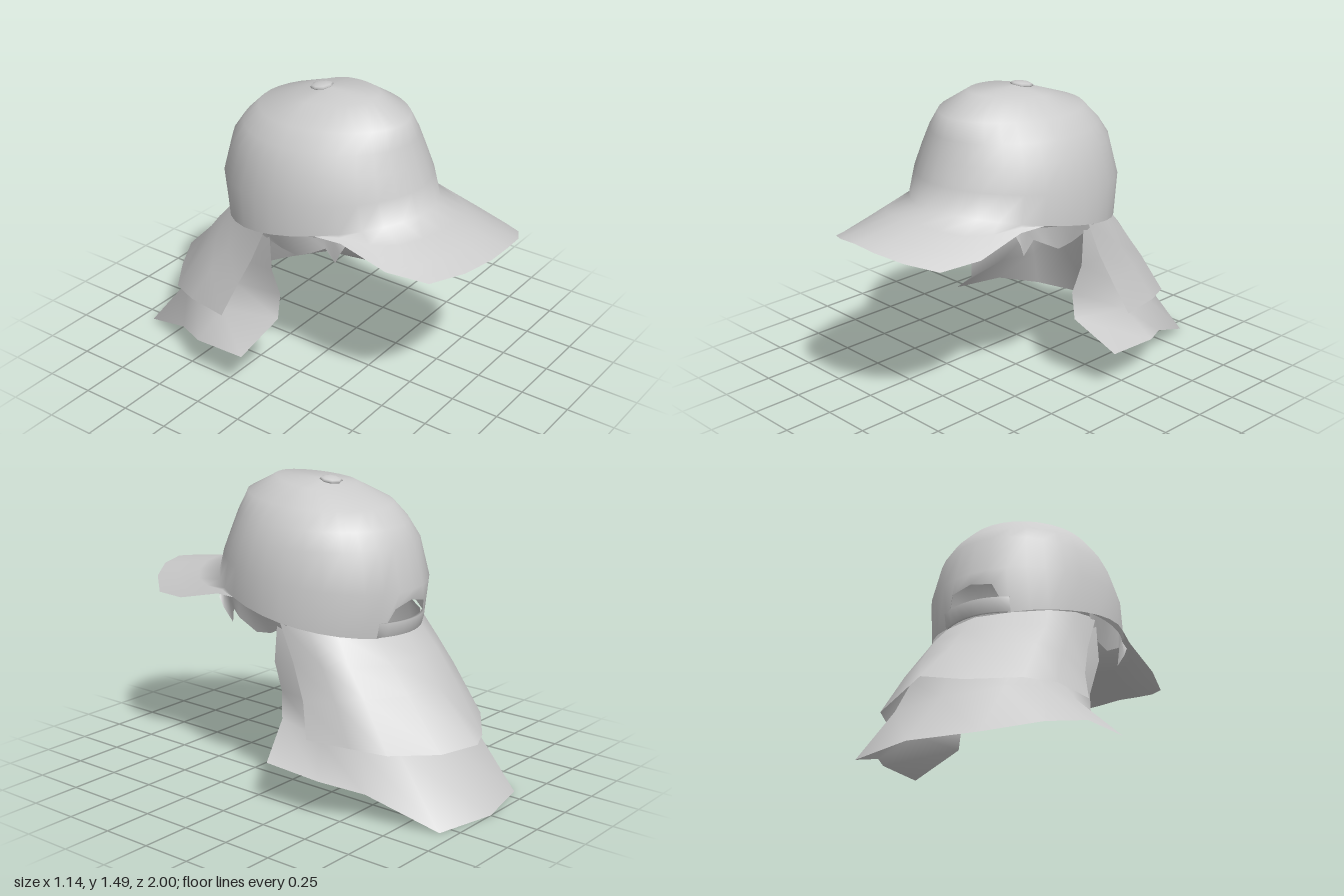
import * as THREE from 'three';

const mat = new THREE.MeshStandardMaterial({ color: 0xcccccc, side: THREE.DoubleSide });
const COLS = 32;

// Smooth sheet through rows of [x, y, z] points; closed joins the row ends
function sheet(name, rows, closed = false) {
  const n = rows[0].length, index = [];
  const cols = closed ? n : n - 1;
  for (let r = 0; r < rows.length - 1; r++) {
    for (let c = 0; c < cols; c++) {
      const a = r * n + c, b = r * n + (c + 1) % n;
      index.push(a, b, b + n, a, b + n, a + n);
    }
  }
  const geo = new THREE.BufferGeometry();
  geo.setAttribute('position', new THREE.Float32BufferAttribute(rows.flat(2), 3));
  geo.setIndex(index);
  geo.computeVertexNormals();
  const mesh = new THREE.Mesh(geo, mat);
  mesh.name = name;
  return mesh;
}

// Half a row, ordered from the left side to the middle, completed by mirroring
const mirrorRow = (half) => [
  ...half,
  ...half.slice(0, -1).reverse().map(([x, y, z]) => [-x, y, z]),
];

// Crown rings, tilted ovals: front z, front y, back z, back y, half width
const rings = [
  [0.58, 1.0, -0.50, 0.79, 0.46],
  [0.54, 1.11, -0.535, 1.01, 0.457],
  [0.50, 1.21, -0.485, 1.21, 0.415],
  [0.465, 1.31, -0.43, 1.29, 0.37],
  [0.43, 1.40, -0.35, 1.37, 0.305],
  [0.27, 1.483, -0.14, 1.443, 0.185],
  [0, 1.477, 0, 1.477, 0],
];
function ringPoints([zf, yf, zb, yb, w]) {
  return Array.from({ length: COLS }, (_, i) => {
    const a = (i / COLS) * Math.PI * 2, c = Math.cos(a);
    const z = c > 0 ? zf * c : -zb * c;
    const t = zf === zb ? 0 : (z - zb) / (zf - zb);
    // The front is slightly narrowed
    const x = w * Math.sin(a) * (1 - 0.1 * Math.max(c, 0) ** 2);
    return [x, yb + (yf - yb) * t, z];
  });
}

// Crown and brim as one smooth surface, the brim growing from the front of the rim
function crownAndBrim() {
  const rows = rings.map(ringPoints);

  // Arched opening above the strap
  const archX = [0, 0.11, 0.17], archY = [0.96, 0.935, 0.795];
  for (let k = -2; k <= 2; k++) {
    const p = rows[0][COLS / 2 + k], m = Math.abs(k);
    p[0] = -Math.sign(k) * archX[m];
    p[1] = archY[m];
    if (m < 2) p[2] -= 0.025;
  }

  // Outer edge of the brim from the middle to the side
  const edge = [[0, 0.94, 1], [0.12, 0.925, 0.985], [0.24, 0.89, 0.92],
    [0.345, 0.845, 0.8], [0.395, 0.86, 0.6], [0.392, 0.922, 0.35]];
  const brimRow = (t) => rows[0].map((p, i) => {
    const k = Math.min(i, COLS - i);
    if (k >= edge.length) return p;
    const [x, y, z] = edge[k];
    const end = [i > COLS / 2 ? -x : x, y, z];
    return p.map((v, j) => v + (end[j] - v) * t);
  });
  return sheet('crownAndBrim', [...[1, 0.67, 0.33].map(brimRow), ...rows], true);
}

// Strap closing the opening at the back
function strap() {
  const row = (y, out) => Array.from({ length: 9 }, (_, i) => {
    const x = -0.18 + i * 0.045;
    return [x, y, -0.5 - out + 0.055 * (x / 0.18) ** 2];
  });
  return sheet('backStrap', [row(0.8, 0), row(0.8, 0.015), row(0.87, 0.03), row(0.87, 0.015), row(0.8, 0)]);
}

// Short outer neck flap
function upperFlap() {
  return sheet('upperNeckFlap', [
    [[0.42, 0.87, -0.07], [0.395, 0.845, -0.22], [0.32, 0.82, -0.345], [0.175, 0.80, -0.45], [0, 0.80, -0.49]],
    [[0.42, 0.68, -0.155], [0.405, 0.69, -0.31], [0.35, 0.69, -0.43], [0.18, 0.69, -0.55], [0, 0.69, -0.585]],
    [[0.445, 0.51, -0.235], [0.425, 0.54, -0.41], [0.36, 0.56, -0.53], [0.18, 0.56, -0.65], [0, 0.57, -0.68]],
    [[0.495, 0.35, -0.295], [0.46, 0.35, -0.52], [0.38, 0.33, -0.68], [0.17, 0.31, -0.83], [0, 0.33, -0.915]],
  ].map(mirrorRow));
}

// Long inner neck flap, flaring at the hem
function lowerFlap() {
  return sheet('lowerNeckFlap', [
    [[0.41, 0.87, -0.05], [0.38, 0.84, -0.22], [0.30, 0.81, -0.35], [0.29, 0.73, -0.43], [0, 0.73, -0.53]],
    [[0.415, 0.66, -0.035], [0.395, 0.65, -0.26], [0.345, 0.64, -0.41], [0.28, 0.63, -0.5], [0, 0.62, -0.59]],
    [[0.36, 0.5, -0.03], [0.40, 0.5, -0.29], [0.365, 0.5, -0.46], [0.28, 0.5, -0.58], [0, 0.5, -0.66]],
    [[0.37, 0.36, -0.04], [0.44, 0.35, -0.33], [0.40, 0.34, -0.53], [0.29, 0.31, -0.69], [0, 0.29, -0.75]],
    [[0.57, 0.215, -0.115], [0.55, 0.19, -0.41], [0.44, 0.14, -0.6], [0.315, 0, -0.93], [0, 0, -1]],
  ].map(mirrorRow));
}

// Jagged tufts below the rim, one per side
function sideTuft(side) {
  const edge = [[0.37, 0.9, 0.36], [0.37, 0.85, 0.33], [0.35, 0.78, 0.29], [0.38, 0.86, 0.255],
    [0.4, 0.83, 0.2], [0.39, 0.775, 0.1], [0.39, 0.785, 0.01], [0.41, 0.83, -0.08], [0.42, 0.86, -0.13]];
  const top = edge.map(([, , z]) => [side * 0.43 * Math.sqrt(1 - (z / 0.6) ** 2), 0.89 + z * 0.12, z]);
  const low = edge.map(([x, y, z]) => [side * x, y, z]);
  return sheet(side > 0 ? 'leftTuft' : 'rightTuft', side > 0 ? [top, low] : [low, top]);
}

export function createModel() {
  const group = new THREE.Group();
  group.name = 'capWithNeckFlap';
  group.add(crownAndBrim(), strap(), upperFlap(), lowerFlap(), sideTuft(1), sideTuft(-1));

  // Button on top of the crown
  const button = new THREE.Mesh(new THREE.SphereGeometry(0.057, 8, 6), mat);
  button.name = 'topButton';
  button.scale.y = 0.28;
  button.rotation.x = -0.15;
  button.position.set(0, 1.472, -0.04);
  group.add(button);
  return group;
}
